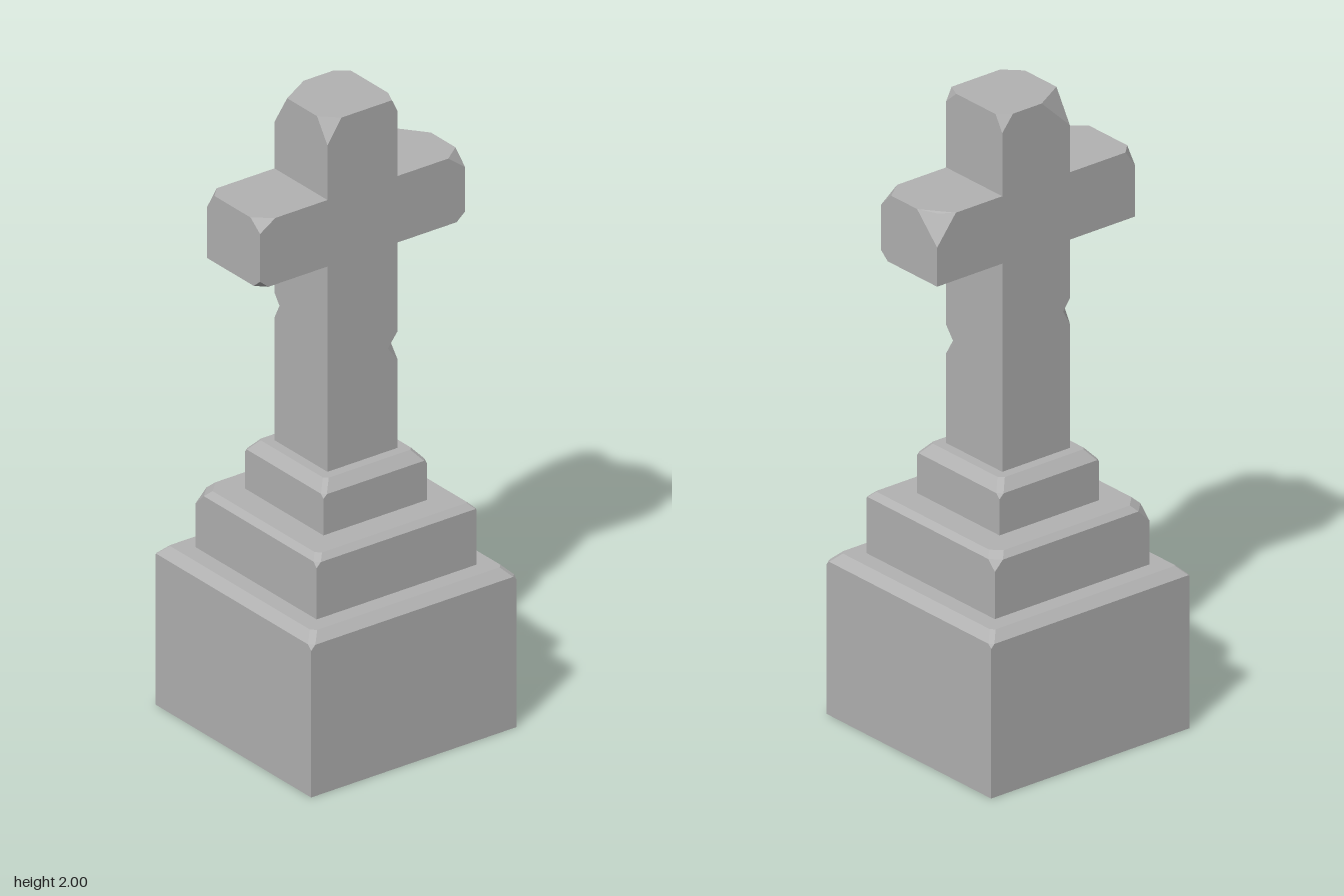
import * as THREE from 'three';
import { ConvexGeometry } from 'three/addons/geometries/ConvexGeometry.js';

const v = (x, y, z) => new THREE.Vector3(x, y, z);

// Box whose corners may be broken off; chip key "x y z" signs -> cut length along each axis
function chippedBlock(hx, y0, y1, hz, chips, extra = []) {
  const points = [...extra];
  for (const sx of [-1, 1]) for (const sy of [-1, 1]) for (const sz of [-1, 1]) {
    const x = sx * hx, y = sy < 0 ? y0 : y1, z = sz * hz;
    const cut = chips[[sx, sy, sz].join(' ')];
    if (!cut) points.push(v(x, y, z));
    else points.push(v(x - sx * cut[0], y, z), v(x, y - sy * cut[1], z), v(x, y, z - sz * cut[2]));
  }
  return new ConvexGeometry(points);
}

// Square step with a bevelled top; cuts = worn corners: back left, front left, back right, front right in x/z order
function step(h, y0, y1, bevelY, inset, cuts) {
  const points = [];
  let i = 0;
  for (const sx of [-1, 1]) for (const sz of [-1, 1]) {
    const c = cuts[i++], t = h - inset;
    points.push(v(sx * h, y0, sz * h));
    points.push(v(sx * h, bevelY - c, sz * h));
    points.push(v(sx * (h - c), bevelY, sz * h), v(sx * h, bevelY, sz * (h - c)));
    points.push(v(sx * (t - c), y1, sz * t), v(sx * t, y1, sz * (t - c)));
  }
  return new ConvexGeometry(points);
}

// Square shaft lofted through rings [y, front chip depth, back chip depth]
function notchedShaft(h, rings) {
  const loops = rings.map(([y, a, b]) => [
    v(-h, y, h), v(h - a, y, h), v(h, y, h - a),
    v(h, y, -h), v(-h + b, y, -h), v(-h, y, -h + b),
  ]);
  const points = [];
  for (let r = 0; r < loops.length - 1; r++) {
    for (let i = 0; i < 6; i++) {
      const j = (i + 1) % 6, lo = loops[r], up = loops[r + 1];
      points.push(lo[i], lo[j], up[j], lo[i], up[j], up[i]);
    }
  }
  const geometry = new THREE.BufferGeometry().setFromPoints(points);
  geometry.computeVertexNormals();
  return geometry;
}

export function createModel() {
  const model = new THREE.Group();
  model.name = 'stoneCross';
  const stone = new THREE.MeshStandardMaterial({ color: 0xb2b2b2 });
  stone.name = 'grey stone';
  const add = (name, geometry) => {
    const mesh = new THREE.Mesh(geometry, stone);
    mesh.name = name;
    model.add(mesh);
  };

  // Stepped pedestal
  add('pedestalBase', step(0.37, 0, 0.515, 0.487, 0.028, [0.004, 0.015, 0.012, 0.012]));
  add('pedestalMiddle', step(0.288, 0.5, 0.713, 0.695, 0.018, [0.04, 0.015, 0.03, 0.004]));
  add('pedestalTop', step(0.186, 0.7, 0.875, 0.842, 0.028, [0.008, 0.012, 0.015, 0.01]));

  // Shaft with a nick in two opposite edges
  const h = 0.126;
  add('shaft', notchedShaft(h, [
    [0.86, 0, 0], [1.16, 0, 0], [1.205, 0.035, 0], [1.25, 0, 0],
    [1.27, 0, 0], [1.315, 0, 0.025], [1.35, 0, 0], [1.536, 0, 0],
  ]));

  // Cross arms with broken ends
  add('crossArms', chippedBlock(0.369, 1.536, 1.75, h, {
    '-1 1 1': [0.055, 0.035, 0.045],
    '-1 1 -1': [0.035, 0.05, 0.035],
    '1 1 1': [0.06, 0.045, 0.045],
    '1 1 -1': [0.07, 0.09, 0.09],
    '-1 -1 1': [0.03, 0.025, 0.03],
    '1 -1 1': [0.03, 0.025, 0.03],
  }, [v(0.335, 1.745, -0.09)]));

  // Upper end of the cross with worn top corners
  add('crossHead', chippedBlock(h, 1.75, 2, h, {
    '-1 1 1': [0.05, 0.075, 0.05],
    '-1 1 -1': [0.105, 0.1, 0.06],
    '1 1 1': [0.02, 0.04, 0.045],
    '1 1 -1': [0.04, 0.05, 0.03],
  }, [v(-0.07, 1.995, -0.075)]));

  return model;
}
